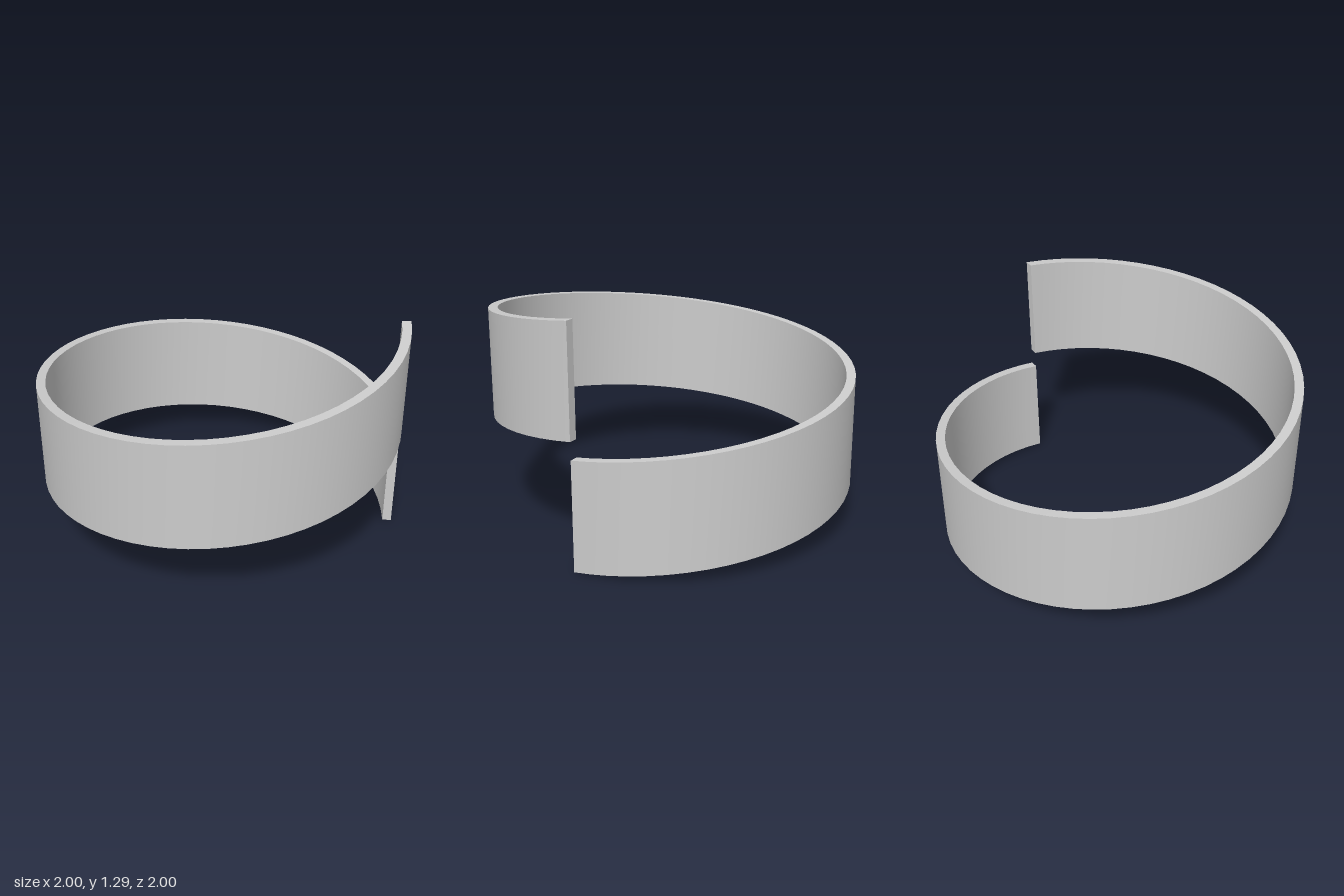
import * as THREE from 'three';

const OUTER = 1, INNER = 0.95;   // radii of the band
const HEIGHT = 0.6, RISE = 0.695; // band height, climb over one turn
const SEGMENTS = 64;

// Rectangular section: outer bottom, outer top, inner top, inner bottom
const SECTION = [[OUTER, 0], [OUTER, HEIGHT], [INNER, HEIGHT], [INNER, 0]];

function sectionPoint(k, t) {
  const [r, y] = SECTION[k % 4];
  const a = t * Math.PI * 2;
  return [r * Math.cos(a), y + t * RISE, -r * Math.sin(a)];
}

function helicalBand() {
  const positions = [], indices = [];

  // Four long faces, each with its own vertices so the edges stay sharp
  for (let k = 0; k < 4; k++) {
    const base = positions.length / 3;
    for (let i = 0; i <= SEGMENTS; i++) {
      const t = i / SEGMENTS;
      positions.push(...sectionPoint(k, t), ...sectionPoint(k + 1, t));
      if (i < SEGMENTS) {
        const p = base + i * 2;
        indices.push(p, p + 2, p + 3, p, p + 3, p + 1);
      }
    }
  }

  // End caps
  for (const t of [0, 1]) {
    const b = positions.length / 3;
    for (let k = 0; k < 4; k++) positions.push(...sectionPoint(k, t));
    if (t === 0) indices.push(b, b + 1, b + 2, b, b + 2, b + 3);
    else indices.push(b, b + 2, b + 1, b, b + 3, b + 2);
  }

  const geometry = new THREE.BufferGeometry();
  geometry.setAttribute('position', new THREE.Float32BufferAttribute(positions, 3));
  geometry.setIndex(indices);
  geometry.computeVertexNormals();
  return geometry;
}

export function createModel() {
  const group = new THREE.Group();
  group.name = 'helicalRing';
  const band = new THREE.Mesh(helicalBand(), new THREE.MeshStandardMaterial({ color: 0xcccccc }));
  band.name = 'helicalBand';
  group.add(band);
  return group;
}
